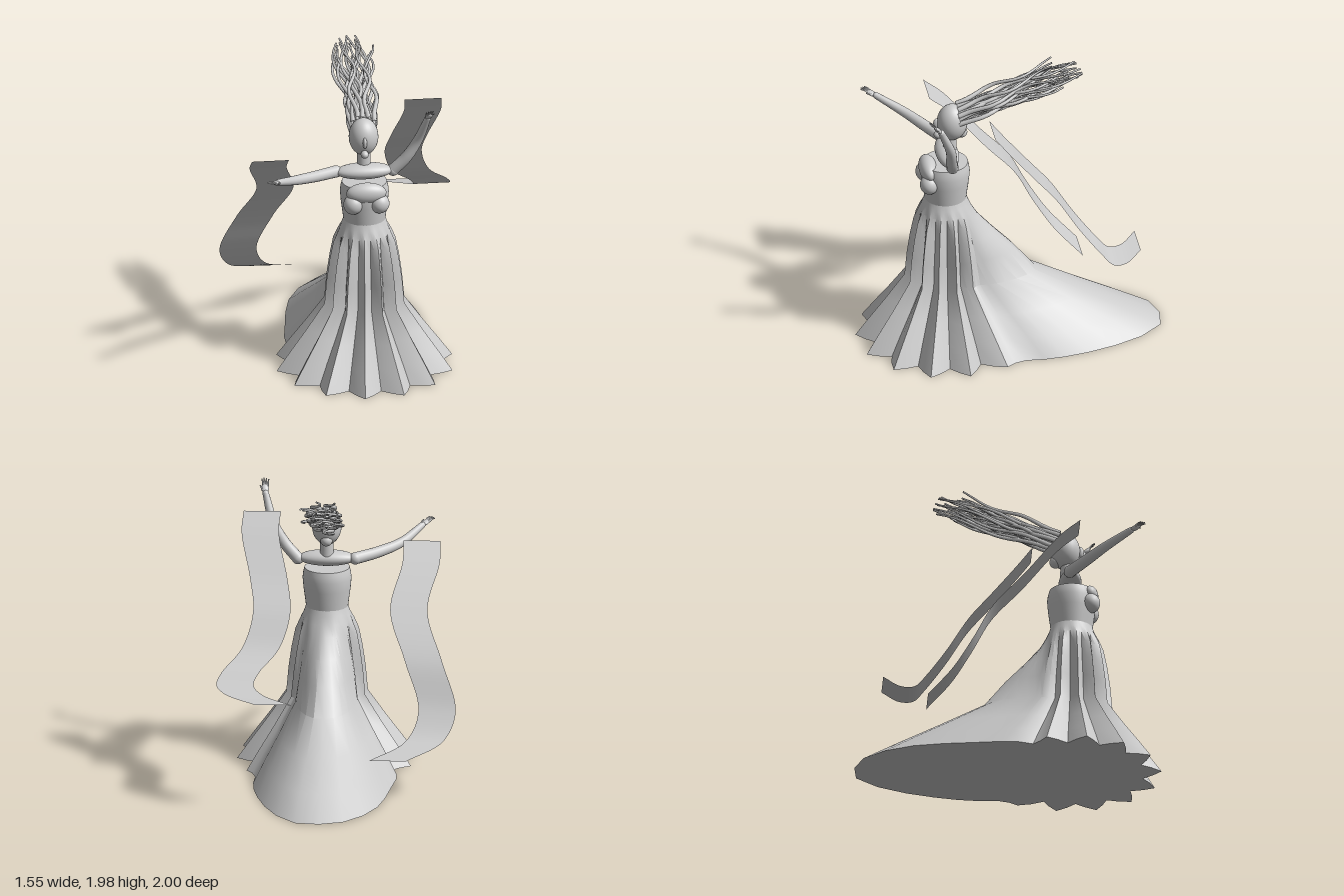
import * as THREE from 'three';
import { toCreasedNormals } from 'three/addons/utils/BufferGeometryUtils.js';

const CX = 0.095, CZ = 0.42; // body axis
const V = (x, y, z) => new THREE.Vector3(x, y, z);

// Linear interpolation in a short table of [key, value] pairs
function lookup(table, k) {
  for (let i = 1; i < table.length; i++) {
    const [k0, v0] = table[i - 1], [k1, v1] = table[i];
    if (k <= k1) return v0 + (v1 - v0) * (k - k0) / (k1 - k0);
  }
  return table[table.length - 1][1];
}

// Round tube along a curve; radius(t) sets its thickness
function taperedTube(points, radius, segments = 20, sides = 12) {
  const curve = new THREE.CatmullRomCurve3(points);
  const geo = new THREE.TubeGeometry(curve, segments, 1, sides);
  const p = geo.attributes.position, v = V(0, 0, 0);
  for (let i = 0; i <= segments; i++) {
    const c = curve.getPointAt(i / segments);
    for (let j = 0; j <= sides; j++) {
      const k = i * (sides + 1) + j;
      v.fromBufferAttribute(p, k).sub(c).multiplyScalar(radius(i / segments)).add(c);
      p.setXYZ(k, v.x, v.y, v.z);
    }
  }
  return geo;
}

// Skirt: pleated rings that stretch backwards into a train
function skirtGeometry() {
  const pleats = 14, n = pleats * 4;
  const outline = [[0, 0], [112, 0], [124, 0.04], [135, 0.12], [145, 0.25], [153, 0.4],
    [160, 0.57], [167, 0.74], [174, 0.87], [180, 0.89]]; // train reach by angle from the front
  const rings = [ // height, base radius, pleat depth, share of the train
    [0, 0.53, 0.058, 1], [0.13, 0.445, 0.05, 0.83], [0.27, 0.35, 0.042, 0.64], [0.45, 0.235, 0.032, 0.4],
    [0.62, 0.222, 0.03, 0.26], [0.76, 0.205, 0.027, 0.13], [0.88, 0.188, 0.02, 0.03],
    [0.95, 0.172, 0.006, 0], [1.0, 0.15, 0, 0], [1.04, 0.137, 0, 0]];
  const pos = [], idx = [];
  for (const [y, base, depth, share] of rings) {
    for (let i = 0; i < n; i++) {
      const deg = -6 + i * 360 / n;
      const a = THREE.MathUtils.degToRad(deg);
      const back = Math.abs(deg > 180 ? 360 - deg : deg);
      const fade = 1 - 0.88 * THREE.MathUtils.smoothstep(back, 108, 145);
      const r = base + depth * fade * [1, 0, -1, 0][i % 4] + share * lookup(outline, back);
      pos.push(CX + r * Math.sin(a), y, CZ + r * Math.cos(a));
    }
  }
  for (let j = 0; j < rings.length - 1; j++) {
    for (let i = 0; i < n; i++) {
      const a = j * n + i, b = j * n + (i + 1) % n;
      idx.push(a, b, a + n, b, b + n, a + n);
    }
  }
  // closed underside
  const centre = pos.length / 3;
  pos.push(CX, 0, CZ);
  for (let i = 0; i < n; i++) idx.push(centre, (i + 1) % n, i);
  const geo = new THREE.BufferGeometry();
  geo.setAttribute('position', new THREE.Float32BufferAttribute(pos, 3));
  geo.setIndex(idx);
  return toCreasedNormals(geo, 0.5);
}

// Ribbon: one edge curve swept sideways along x
function ribbonGeometry(points, width, segments = 48) {
  const curve = new THREE.CatmullRomCurve3(points);
  const pos = [], idx = [];
  for (let i = 0; i <= segments; i++) {
    const p = curve.getPoint(i / segments);
    pos.push(p.x, p.y, p.z, p.x + width, p.y, p.z);
    const a = i * 2;
    if (i < segments) idx.push(a, a + 2, a + 1, a + 1, a + 2, a + 3);
  }
  const geo = new THREE.BufferGeometry();
  geo.setAttribute('position', new THREE.Float32BufferAttribute(pos, 3));
  geo.setIndex(idx);
  geo.computeVertexNormals();
  return geo;
}

export function createModel() {
  const model = new THREE.Group();
  const stone = new THREE.MeshStandardMaterial({ color: 0xcccccc, side: THREE.DoubleSide });
  stone.name = 'pale grey';

  const add = (name, geo, parent = model) => {
    const mesh = new THREE.Mesh(geo, stone);
    mesh.name = name;
    parent.add(mesh);
    return mesh;
  };
  const ellipsoid = (name, x, y, z, rx, ry, rz, parent = model) => {
    const mesh = add(name, new THREE.SphereGeometry(1, 28, 20), parent);
    mesh.position.set(x, y, z);
    mesh.scale.set(rx, ry, rz);
    return mesh;
  };
  const group = (name) => {
    const g = new THREE.Group();
    g.name = name;
    model.add(g);
    return g;
  };

  // Dress
  add('skirt', skirtGeometry());
  const bodice = [[0.137, 1.03], [0.143, 1.08], [0.154, 1.16], [0.16, 1.23], [0.155, 1.27], [0.147, 1.3], [0.0001, 1.3]];
  add('bodice', toCreasedNormals(new THREE.LatheGeometry(bodice.map(p => new THREE.Vector2(...p)), 40), 0.7))
    .position.set(CX, 0, CZ);

  // Upper body
  ellipsoid('chest', CX, 1.26, 0.535, 0.132, 0.07, 0.06);
  for (const s of [-1, 1]) ellipsoid('bust', CX + s * 0.087, 1.185, 0.54, 0.064, 0.066, 0.062);
  ellipsoid('shoulders', CX, 1.365, 0.41, 0.19, 0.052, 0.075);
  add('neck', new THREE.CylinderGeometry(0.042, 0.046, 0.16, 24)).position.set(CX, 1.45, 0.39);

  // Head and face
  ellipsoid('head', CX, 1.595, 0.375, 0.097, 0.126, 0.1);
  ellipsoid('nose', CX - 0.003, 1.59, 0.478, 0.014, 0.038, 0.022);
  ellipsoid('mouth', CX - 0.003, 1.505, 0.465, 0.026, 0.026, 0.032);
  ellipsoid('bun', CX, 1.515, 0.315, 0.04, 0.04, 0.04);

  // Hair: wavy strands streaming up and back
  const hair = group('hair');
  const strands = 30;
  for (let i = 0; i < strands; i++) {
    const r = Math.sqrt((i + 0.5) / strands), a = i * 2.39996;
    const dx = r * Math.cos(a), dy = r * Math.sin(a);
    const phase = i * 1.7, reach = 0.68 + 0.1 * Math.sin(i * 4.1);
    const pts = [];
    for (let k = 0; k <= 10; k++) {
      const t = k / 10;
      const sway = 0.036 * Math.min(1, t * 2.5) * Math.sin(t * 9 + phase);
      pts.push(V(
        CX + dx * (0.088 + 0.035 * t) + sway,
        1.645 + dy * (0.075 + 0.012 * t) + 0.25 * t + 0.01 * t * Math.cos(t * 9 + phase),
        0.345 - 0.03 * (1 - r) - reach * t * 1.04));
    }
    add('hairStrand', taperedTube(pts, t => 0.017 - 0.011 * t, 28, 8), hair);
  }

  // Arms: shoulder ball, tapered sleeve, palm and fingers
  const arms = [
    ['rightArm', [V(-0.09, 1.365, 0.4), V(-0.24, 1.38, 0.5), V(-0.38, 1.41, 0.61), V(-0.51, 1.475, 0.775)], V(-0.57, 1.505, 0.865)],
    ['leftArm', [V(0.285, 1.36, 0.405), V(0.37, 1.455, 0.425), V(0.445, 1.585, 0.445), V(0.5, 1.765, 0.515)], V(0.515, 1.85, 0.595)]];
  for (const [name, path, tip] of arms) {
    const arm = group(name);
    const wrist = path[3], dir = tip.clone().sub(wrist).normalize();
    const across = V(0, 1, 0).cross(dir).normalize();
    ellipsoid('shoulderBall', path[0].x, path[0].y, path[0].z, 0.04, 0.04, 0.04, arm);
    add('sleeve', taperedTube(path, t => 0.039 - 0.004 * t - 0.014 * t * t, 28, 16), arm);
    ellipsoid('cuff', wrist.x, wrist.y, wrist.z, 0.021, 0.021, 0.021, arm);
    const palmAt = wrist.clone().addScaledVector(dir, 0.035);
    const palm = ellipsoid('palm', palmAt.x, palmAt.y, palmAt.z, 0.024, 0.014, 0.036, arm);
    palm.lookAt(tip);
    for (let f = 0; f < 5; f++) {
      const side = (f - 2) * 0.009, thumb = f === 4;
      const start = palmAt.clone().addScaledVector(dir, thumb ? -0.015 : 0.015).addScaledVector(across, side);
      const end = start.clone().addScaledVector(dir, thumb ? 0.04 : 0.062 - Math.abs(side) * 0.6)
        .addScaledVector(across, side * 0.7);
      const mid = start.clone().lerp(end, 0.5).add(V(0, 0.005, 0));
      add('finger', taperedTube([start, mid, end], t => 0.0075 - 0.004 * t, 8, 8), arm);
    }
  }

  // Floating ribbons
  add('rightRibbon', ribbonGeometry([
    V(-0.645, 1.48, 0.44), V(-0.645, 1.37, 0.31), V(-0.575, 1.12, 0.08), V(-0.68, 0.84, -0.13),
    V(-0.775, 0.55, -0.27), V(-0.70, 0.38, -0.39), V(-0.465, 0.29, -0.545)], 0.243));
  add('leftRibbon', ribbonGeometry([
    V(0.385, 1.755, 0.18), V(0.395, 1.64, 0.09), V(0.33, 1.38, -0.1), V(0.305, 1.2, -0.24), V(0.37, 1.0, -0.38),
    V(0.5, 0.87, -0.51), V(0.53, 0.81, -0.575), V(0.47, 0.775, -0.67), V(0.275, 0.75, -0.8)], 0.243));

  return model;
}
